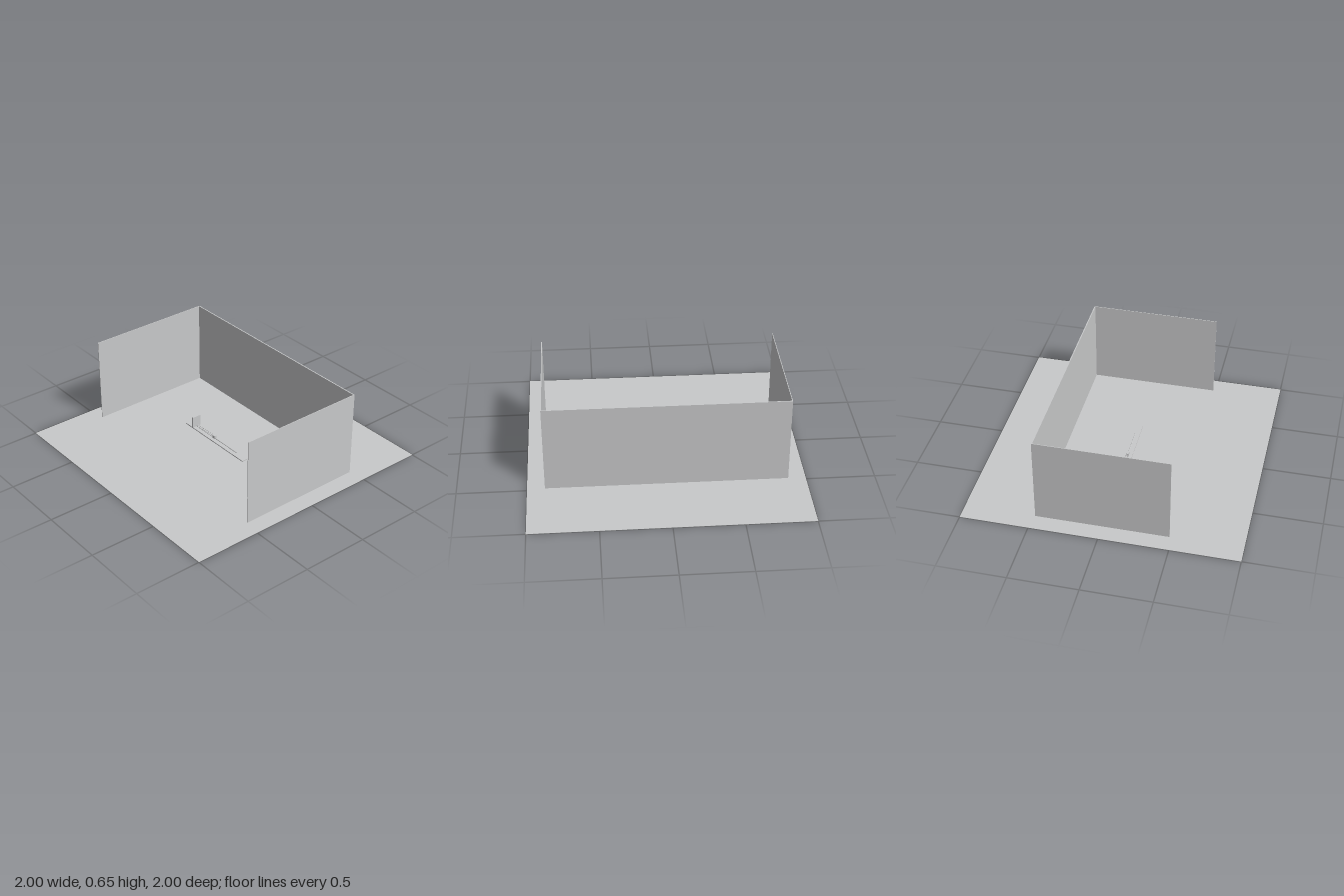
import * as THREE from 'three';

export function createModel() {
  const root = new THREE.Group();
  const grey = new THREE.MeshStandardMaterial({ color: 0xc8c9ca });
  grey.name = 'light grey';

  const add = (name, geometry, parent = root) => {
    const mesh = new THREE.Mesh(geometry, grey);
    mesh.name = name;
    parent.add(mesh);
    return mesh;
  };
  // Box given by its minimum and maximum corners
  const box = (name, a, b, parent) => {
    const mesh = add(name, new THREE.BoxGeometry(b[0] - a[0], b[1] - a[1], b[2] - a[2]), parent);
    mesh.position.set((a[0] + b[0]) / 2, (a[1] + b[1]) / 2, (a[2] + b[2]) / 2);
    return mesh;
  };

  // Floor and three walls, open to the front
  box('floor', [-1, 0, -1], [1, 0.002, 1]);
  box('backWall', [-0.873, 0.002, -0.484], [0.873, 0.654, -0.476]);
  for (const side of [-1, 1]) {
    const wall = box(side > 0 ? 'leftWall' : 'rightWall', [-0.0025, 0.002, -0.476], [0.0025, 0.654, 0.48]);
    wall.position.x = side * 0.8705;
  }

  // Spring launcher on the floor
  const launcher = new THREE.Group();
  launcher.name = 'springLauncher';
  root.add(launcher);
  box('basePlate', [-0.39, 0.002, -0.035], [0.285, 0.01, 0.035], launcher);
  box('endStop', [-0.311, 0.01, -0.035], [-0.299, 0.097, 0.035], launcher);
  box('slider', [-0.097, 0.012, -0.01], [-0.07, 0.035, 0.01], launcher);

  // Guide rail lying along the plate
  const rail = add('guideRail', new THREE.CylinderGeometry(0.004, 0.004, 0.5, 16), launcher);
  rail.rotation.z = Math.PI / 2;
  rail.position.set(-0.07, 0.0135, 0);

  // Coil spring between the end stop and the slider
  const turns = 9, start = -0.28, end = -0.097, points = [];
  for (let i = 0; i <= turns * 12; i++) {
    const t = i / (turns * 12), angle = t * turns * Math.PI * 2;
    points.push(new THREE.Vector3(start + (end - start) * t, 0.023 + 0.0085 * Math.cos(angle), 0.0085 * Math.sin(angle)));
  }
  add('coilSpring', new THREE.TubeGeometry(new THREE.CatmullRomCurve3(points), 180, 0.002, 6), launcher);

  return root;
}
